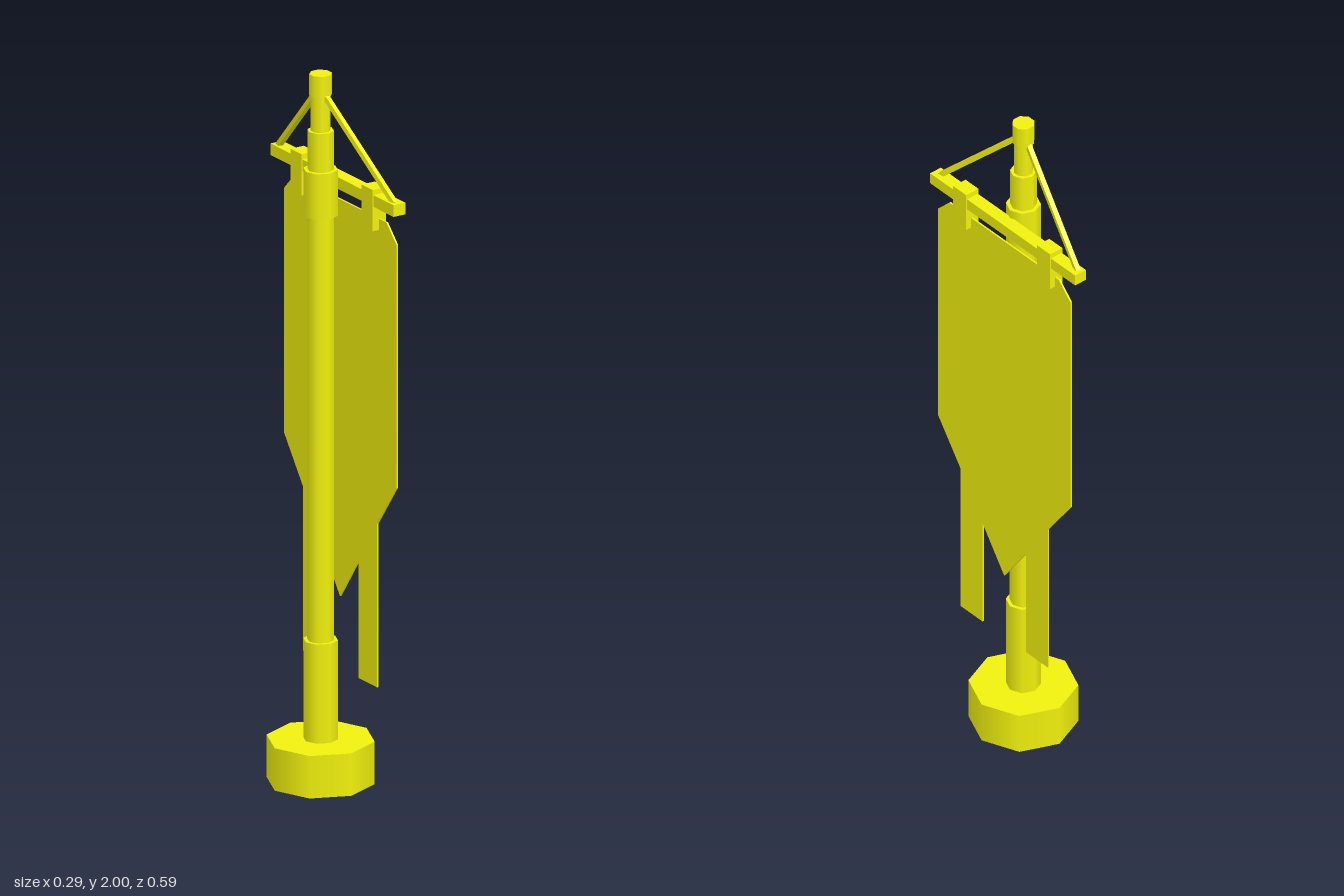
import * as THREE from 'three';

export function createModel() {
  const group = new THREE.Group();
  const yellow = new THREE.MeshStandardMaterial({ color: 0xf0f00d, side: THREE.DoubleSide });
  const poleZ = 0.007;

  function add(name, geometry, x = 0, y = 0, z = 0) {
    const mesh = new THREE.Mesh(geometry, yellow);
    mesh.name = name;
    mesh.position.set(x, y, z);
    group.add(mesh);
    return mesh;
  }

  // Octagonal base: side wall and top, hollow below
  add('baseWall', new THREE.CylinderGeometry(0.147, 0.147, 0.12, 8, 1, true), 0, 0.06, poleZ);
  add('baseTop', new THREE.CircleGeometry(0.147, 8).rotateX(-Math.PI / 2), 0, 0.12, poleZ);

  // Stacked pole sections: name, radius, bottom, top, turn
  const sections = [
    ['poleFoot', 0.047, 0.12, 0.4, 0],
    ['poleShaft', 0.037, 0.4, 1.6, 0],
    ['poleCollar', 0.047, 1.6, 1.73, 0],
    ['poleNeck', 0.036, 1.73, 1.84, 0],
    ['poleTip', 0.027, 1.84, 1.94, Math.PI / 8],
    ['poleCap', 0.031, 1.94, 2.0, Math.PI / 8],
  ];
  for (const [name, r, y0, y1, turn] of sections) {
    add(name, new THREE.CylinderGeometry(r, r, y1 - y0, 8).rotateY(turn), 0, (y0 + y1) / 2, poleZ);
  }

  // Crossbar carrying the banner
  add('crossbar', new THREE.BoxGeometry(0.038, 0.033, 0.592), 0.061, 1.687, -0.001);

  for (const side of [1, -1]) {
    const label = side > 0 ? 'front' : 'back';
    // Bracket clamping banner to crossbar
    add(label + 'Bracket', new THREE.BoxGeometry(0.043, 0.117, 0.053), 0.061, 1.66, side * 0.171);

    // Slanted strut from the pole tip to the bar end
    const start = new THREE.Vector3(0.002, 1.94, poleZ + side * 0.022);
    const end = new THREE.Vector3(0.058, 1.7, -0.003 + side * 0.279);
    const mid = start.clone().add(end).multiplyScalar(0.5);
    const strut = add(label + 'Strut',
      new THREE.BoxGeometry(0.014, 0.014, start.distanceTo(end)), mid.x, mid.y, mid.z);
    strut.lookAt(end);
  }

  // Banner cloth with cut corners, central point and two tails, as (z, y)
  const outline = [
    [0.234, 1.633], [0.281, 1.585], [0.281, 0.895], [0.189, 0.768], [0.189, 0.305],
    [0.098, 0.305], [0.098, 0.635], [0.01, 0.51], [-0.079, 0.635], [-0.079, 0.305],
    [-0.168, 0.305], [-0.168, 0.768], [-0.26, 0.895], [-0.26, 1.585], [-0.213, 1.633],
  ];
  const shape = new THREE.Shape(outline.map(([z, y]) => new THREE.Vector2(-z, y)));
  const cloth = new THREE.ExtrudeGeometry(shape, { depth: 0.005, bevelEnabled: false });
  add('banner', cloth.rotateY(Math.PI / 2), 0.06);

  return group;
}
